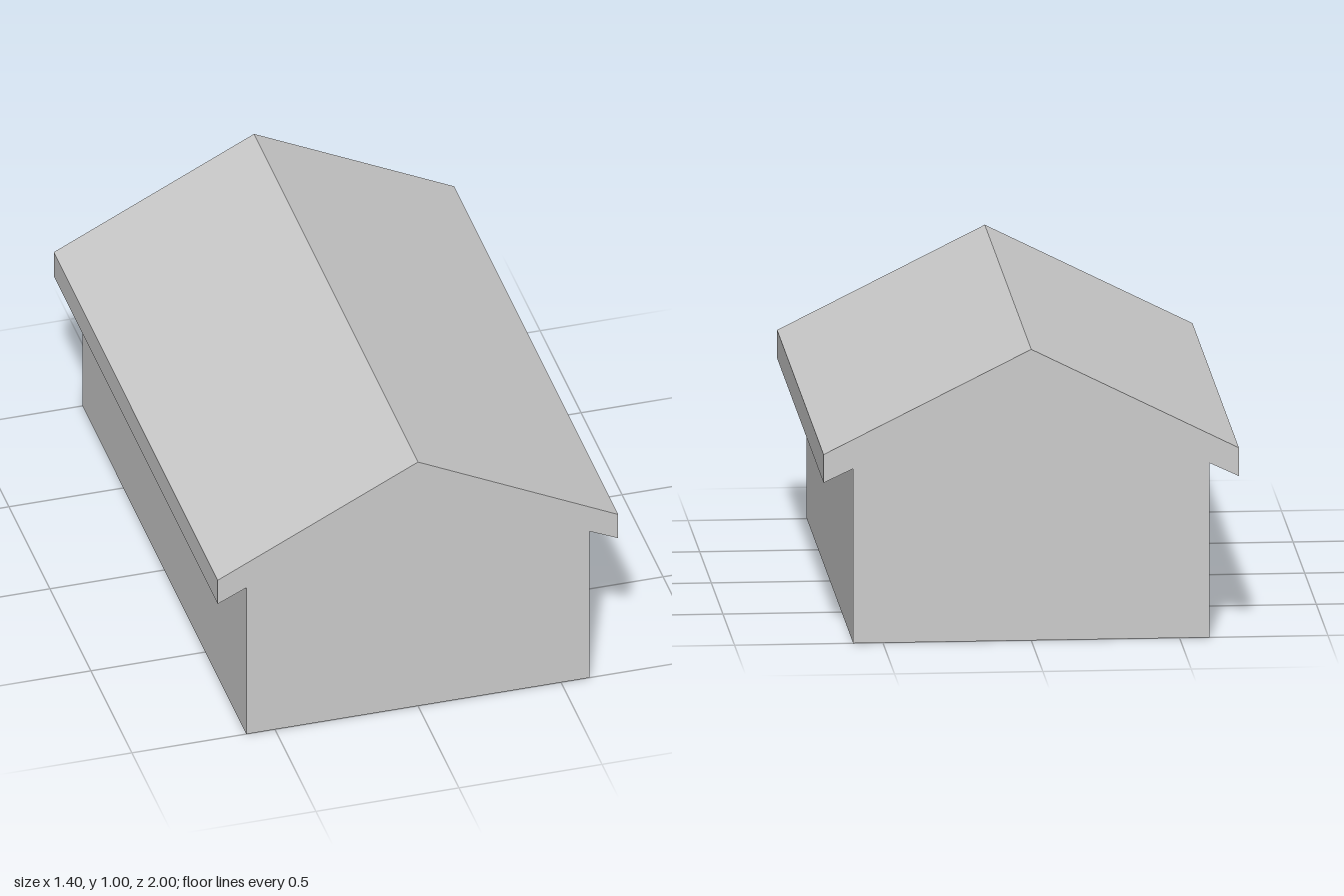
import * as THREE from 'three';

const LENGTH = 2;

export function createModel() {
  const group = new THREE.Group();
  group.name = 'house';

  // Right half of the gable outline, from the ground up to the eave
  const half = [[0.6, 0], [0.6, 0.6], [0.7, 0.553], [0.7, 0.65]];
  const mirrored = half.map(([x, y]) => [-x, y]).reverse();
  const outline = [...half, [0, 1], ...mirrored].map(([x, y]) => new THREE.Vector2(x, y));

  // Walls and overhanging gable roof form one solid along z
  const geometry = new THREE.ExtrudeGeometry(new THREE.Shape(outline), {
    depth: LENGTH,
    bevelEnabled: false,
  });
  geometry.translate(0, 0, -LENGTH / 2);

  const material = new THREE.MeshStandardMaterial({ color: 0xcccccc, flatShading: true });
  const body = new THREE.Mesh(geometry, material);
  body.name = 'wallsAndGableRoof';
  group.add(body);

  return group;
}
